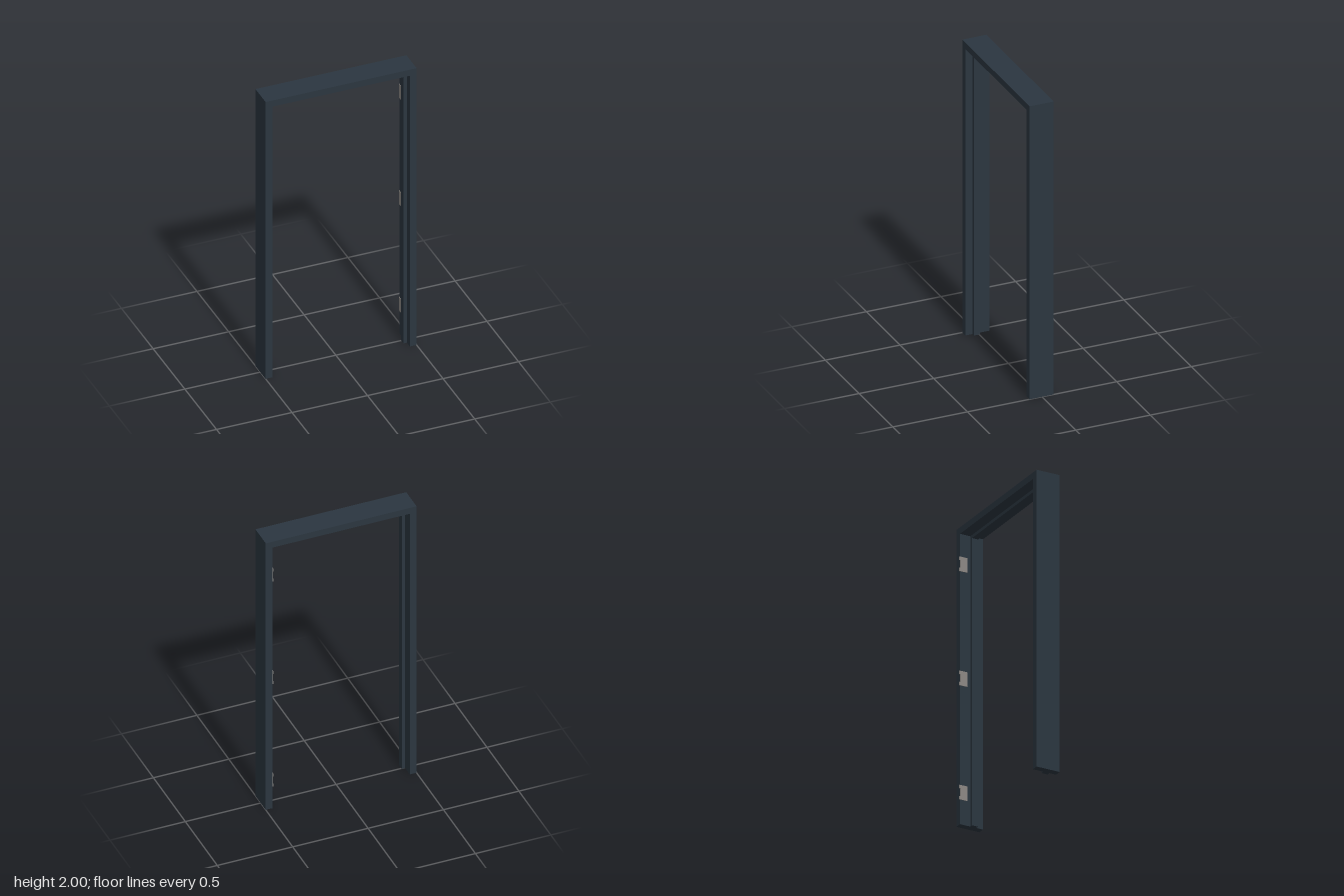
import * as THREE from 'three';

const FRONT = 0.083, BACK = -0.078, INNER = 0.455;

// Upside-down U: outer half width / top, inner half width / top
function archGeometry(outerX, outerY, innerX, innerY, z0, z1) {
  const s = new THREE.Shape([
    [-outerX, 0], [-innerX, 0], [-innerX, innerY], [innerX, innerY],
    [innerX, 0], [outerX, 0], [outerX, outerY], [-outerX, outerY],
  ].map(([x, y]) => new THREE.Vector2(x, y)));
  const g = new THREE.ExtrudeGeometry(s, { depth: z1 - z0, bevelEnabled: false });
  return g.translate(0, 0, z0);
}

// Thin leaf with two knuckle tabs that stick out past the back of the frame
function hingeGeometry() {
  const tab = -0.083, edge = -0.077, inside = -0.027;
  const s = new THREE.Shape([
    [tab, -0.049], [inside, -0.049], [inside, 0.049], [tab, 0.049],
    [tab, 0.026], [edge, 0.026], [edge, -0.026], [tab, -0.026],
  ].map(([z, y]) => new THREE.Vector2(z, y)));
  const g = new THREE.ExtrudeGeometry(s, { depth: 0.004, bevelEnabled: false });
  return g.rotateY(-Math.PI / 2);
}

export function createModel() {
  const group = new THREE.Group();
  const frameMat = new THREE.MeshStandardMaterial({ color: 0x2b3640 });
  const hingeMat = new THREE.MeshStandardMaterial({ color: 0x8c8884 });

  const add = (name, geometry, material) => {
    const mesh = new THREE.Mesh(geometry, material);
    mesh.name = name;
    group.add(mesh);
    return mesh;
  };

  // Jambs and header in one piece
  add('doorFrame', archGeometry(0.5, 2, INNER, 1.956, BACK, FRONT), frameMat);

  // Raised stop around the inside, leaving a rebate on both sides
  add('doorStop', archGeometry(INNER, 1.956, 0.433, 1.935, -0.006, 0.036), frameMat);

  // Three hinge leaves on the left jamb, in the back rebate
  const leaf = hingeGeometry();
  [0.215, 0.984, 1.753].forEach((y, i) => {
    add('hingeLeaf' + (i + 1), leaf, hingeMat).position.set(INNER + 0.001, y, 0);
  });

  return group;
}
